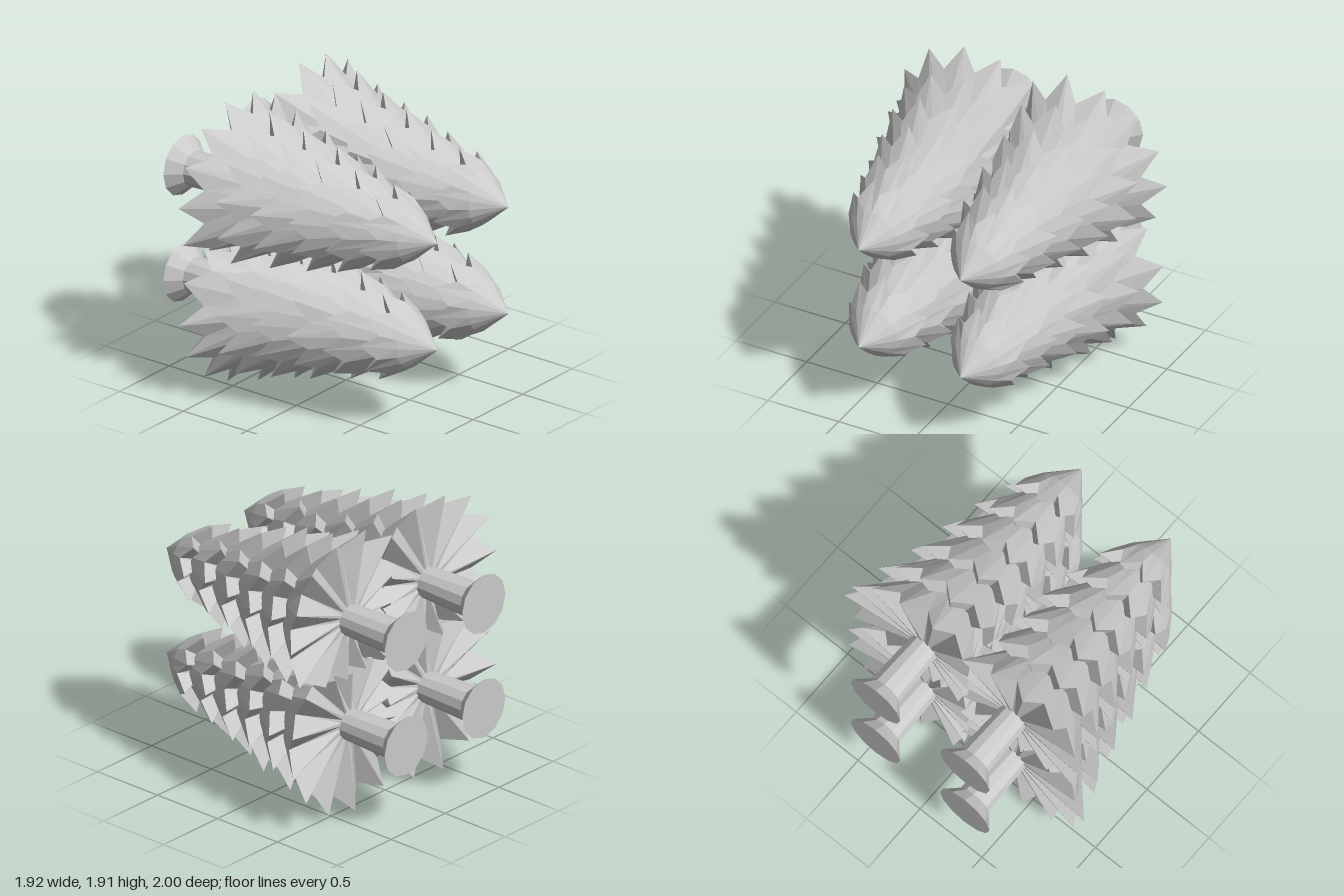
import * as THREE from 'three';

const grey = new THREE.MeshStandardMaterial({ color: 0xcacaca, flatShading: true, side: THREE.DoubleSide });
grey.name = 'plain grey';

const HALF = 0.36; // distance from a tree's axis to its neighbours' border

function seeded(seed) {
  let s = seed;
  return () => (s = (s * 16807) % 2147483647) / 2147483647;
}

// Triangles between consecutive closed rings of equal length
function loft(rings) {
  const pos = [];
  for (let k = 0; k < rings.length - 1; k++) {
    const a = rings[k], b = rings[k + 1], n = a.length;
    for (let i = 0; i < n; i++) {
      const j = (i + 1) % n;
      pos.push(...a[i], ...b[i], ...b[j]);
      if (k > 0 || a[i][0] !== a[j][0] || a[i][1] !== a[j][1]) pos.push(...a[i], ...b[j], ...a[j]);
    }
  }
  const geo = new THREE.BufferGeometry();
  geo.setAttribute('position', new THREE.Float32BufferAttribute(pos, 3));
  geo.computeVertexNormals();
  return geo;
}

// One pleated branch tier: star-shaped rim, squeezed where it meets the neighbouring trees
function branchTier(index, sx, sy, phase, rand) {
  const points = 9 + index;
  const R = 0.285 + index * 0.061;
  const z = 0.59 - index * 0.234;
  const apex = [], start = [], rim = [], inner = [];
  for (let i = 0; i < points * 2; i++) {
    const tip = i % 2 === 0;
    const a = phase + (i * Math.PI) / points + (rand() - 0.5) * 0.05;
    const c = Math.cos(a), s = Math.sin(a);
    const at = (r, depth, limit) => {
      let q = r;
      if (c * sx < 0) q = Math.min(q, limit / Math.abs(c));
      if (s * sy < 0) q = Math.min(q, limit / Math.abs(s));
      return [c * q, s * q, depth];
    };
    const size = R * (0.98 + rand() * 0.045);
    apex.push([0, 0, 1]);
    start.push(index === 0 ? at(0.165, 0.81, HALF) : at(R * 0.7 - 0.08, z + 0.31, 0.3));
    rim.push(tip ? at(size, z + rand() * 0.015, HALF + 0.03 * rand())
                 : at(size * 0.82, z + 0.115, HALF - 0.02));
    inner.push([c * 0.085, s * 0.085, z + 0.045]);
  }
  const mesh = new THREE.Mesh(loft(index === 0 ? [apex, start, rim, inner] : [start, rim, inner]), grey);
  mesh.name = 'branchTier' + (index + 1);
  return mesh;
}

// Trunk with a flared foot, lying along z
function trunk() {
  const profile = [[0.08, 0.5], [0.103, -0.55], [0.117, -0.91], [0.2, -1], [0, -1]]
    .reverse().map(([r, z]) => new THREE.Vector2(r, z));
  const geo = new THREE.LatheGeometry(profile, 12);
  geo.rotateX(Math.PI / 2);
  const mesh = new THREE.Mesh(geo, grey);
  mesh.name = 'trunk';
  return mesh;
}

function tree(sx, sy, phase, seed) {
  const rand = seeded(seed);
  const group = new THREE.Group();
  group.add(trunk());
  for (let i = 0; i < 6; i++) {
    group.add(branchTier(i, sx, sy, i === 5 ? phase : rand() * Math.PI, rand));
  }
  group.position.set(sx * HALF, 0.97 + sy * HALF, 0);
  return group;
}

export function createModel() {
  const model = new THREE.Group();
  model.name = 'stackedFirTrees';
  // Four trees in a two by two stack: side, level, rim phase in radians
  [[-1, 1, -0.02, 'upperRightTree'], [1, 1, -0.05, 'upperLeftTree'],
    [-1, -1, 0.07, 'lowerRightTree'], [1, -1, 0.19, 'lowerLeftTree']].forEach(([sx, sy, phase, name], i) => {
    const t = tree(sx, sy, phase, 7919 * (i + 3));
    t.name = name;
    model.add(t);
  });
  // Stand the stack on the ground
  const box = new THREE.Box3().setFromObject(model);
  model.position.y = -box.min.y;
  return model;
}
